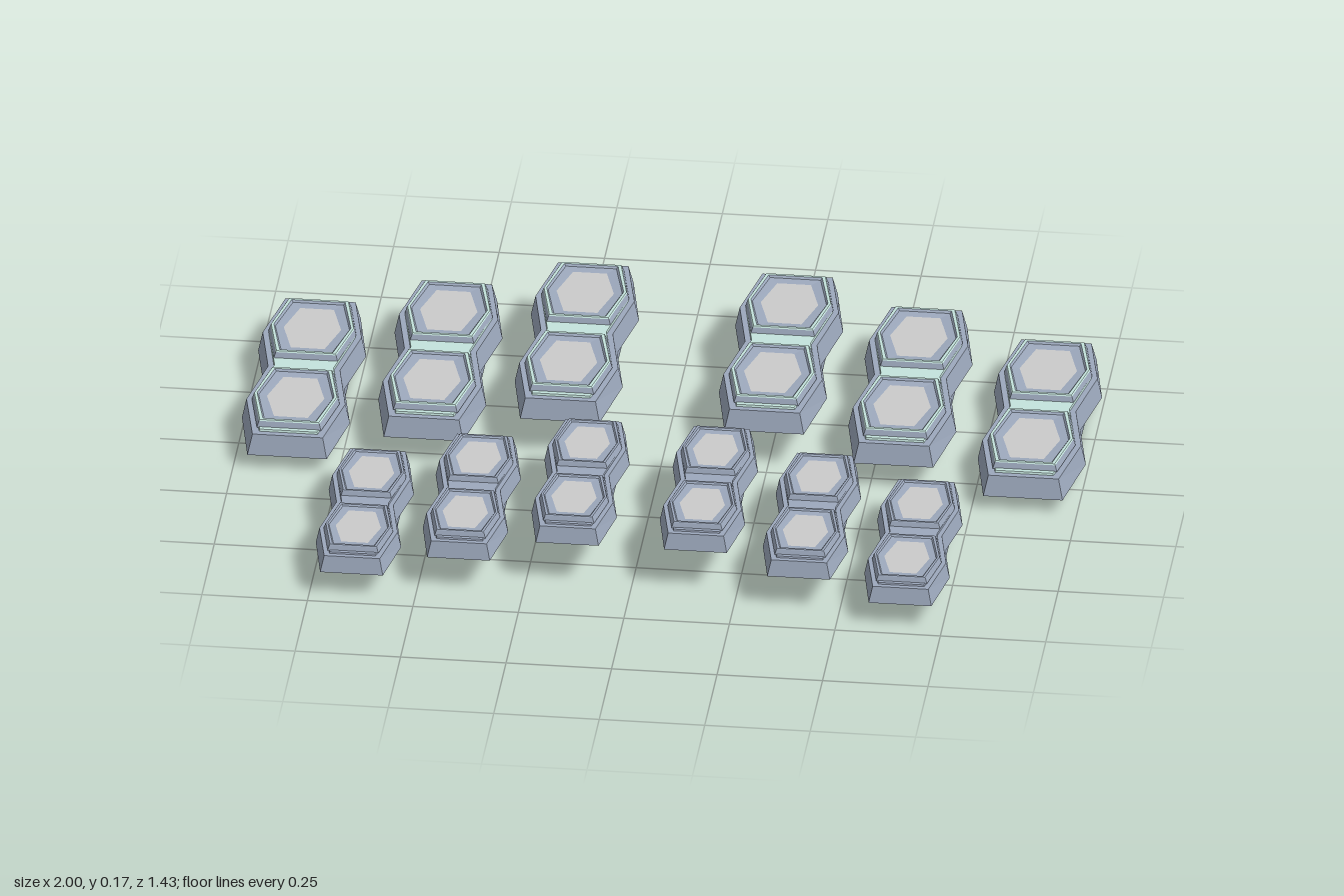
import * as THREE from 'three';

const material = (color) => new THREE.MeshStandardMaterial({ color, flatShading: true });
const blue = material(0x9da9bd);
const teal = material(0xc5e4dd);
const grey = material(0xcccccc);

// Outlines as rows of [z, half width], symmetric about x = 0
const TILE = [[-0.347, 0.094], [-0.165, 0.128], [0, 0.096], [0.165, 0.128], [0.347, 0.094]];
const HEX = [[-0.137, 0.076], [0, 0.104], [0.137, 0.076]];

// Skins a stack of inset copies of an outline; rings are [inset, y]
function loft(rows, rings, bottom = false, top = false) {
  const pos = [];
  const n = rows.length;
  const loops = rings.map(([d, y]) => {
    const right = rows.map(([z, w], i) => {
      const end = i === 0 ? d : i === n - 1 ? -d : 0;
      return new THREE.Vector3(w - d * 0.9, y, z + end);
    });
    const left = right.map((p) => new THREE.Vector3(-p.x, p.y, p.z)).reverse();
    return [...right, ...left];
  });
  const tri = (...pts) => pts.forEach((p) => pos.push(p.x, p.y, p.z));
  for (let k = 0; k + 1 < loops.length; k++) {
    const lo = loops[k], hi = loops[k + 1];
    for (let i = 0; i < lo.length; i++) {
      const j = (i + 1) % lo.length;
      tri(lo[i], hi[i], hi[j]);
      tri(lo[i], hi[j], lo[j]);
    }
  }
  const cap = (loop, up) => {
    for (let i = 0; i + 1 < n; i++) {
      const r0 = loop[i], r1 = loop[i + 1];
      const l0 = loop[2 * n - 1 - i], l1 = loop[2 * n - 2 - i];
      if (up) { tri(l0, l1, r1); tri(l0, r1, r0); }
      else { tri(l0, r1, l1); tri(l0, r0, r1); }
    }
  };
  if (bottom) cap(loops[0], false);
  if (top) cap(loops[loops.length - 1], true);
  const geo = new THREE.BufferGeometry();
  geo.setAttribute('position', new THREE.Float32BufferAttribute(pos, 3));
  geo.computeVertexNormals();
  return geo;
}

const footGeo = new THREE.BoxGeometry(0.19, 0.04, 0.32).translate(0, 0.02, 0);
const slabGeo = loft(TILE, [[0, 0.035], [0.012, 0.085]], true, true);
const deckGeo = loft(TILE, [[0.004, 0.034], [0.026, 0.08], [0.029, 0.09]], true, true);
// Raised frame, its top rim, the slope inside it and the pad in its floor
const frameGeo = loft(HEX, [[0, 0.088], [0.005, 0.103]]);
const rimGeo = loft(HEX, [[0.005, 0.103], [0.007, 0.106], [0.014, 0.106]]);
const slopeGeo = loft(HEX, [[0.014, 0.106], [0.018, 0.101], [0.04, 0.099]]);
const padGeo = loft(HEX, [[0.04, 0.099]], false, true);

function part(parent, name, geo, mat) {
  const mesh = new THREE.Mesh(geo, mat);
  mesh.name = name;
  parent.add(mesh);
  return mesh;
}

function makeTile(name, trim) {
  const tile = new THREE.Group();
  tile.name = name;
  part(tile, 'foot', footGeo, blue);
  part(tile, 'slab', slabGeo, blue);
  part(tile, 'deck', deckGeo, trim);
  for (const z of [-0.17, 0.17]) {
    const block = new THREE.Group();
    block.name = z < 0 ? 'backBlock' : 'frontBlock';
    block.position.z = z;
    part(block, 'frame', frameGeo, blue);
    part(block, 'rim', rimGeo, trim);
    part(block, 'slope', slopeGeo, blue);
    part(block, 'pad', padGeo, grey);
    tile.add(block);
  }
  return tile;
}

export function createModel() {
  const model = new THREE.Group();
  model.name = 'armourTiles';
  // Two fans of tiles, stepping down and forward away from the middle
  const rows = [
    { name: 'largeTile', trim: teal, scale: 1, x: [0.242, 0.557, 0.872], y: [0.06, 0.03, 0], z: [-0.37, -0.298, -0.228] },
    { name: 'smallTile', trim: blue, scale: 0.79, x: [0.152, 0.403, 0.65], y: [0.08, 0.055, 0.03], z: [0.325, 0.382, 0.438] },
  ];
  for (const row of rows) {
    for (const side of [1, -1]) {
      row.x.forEach((x, i) => {
        const tile = makeTile((side > 0 ? 'left ' : 'right ') + row.name + (i + 1), row.trim);
        tile.scale.setScalar(row.scale);
        tile.position.set(side * x, row.y[i], row.z[i]);
        model.add(tile);
      });
    }
  }
  return model;
}
